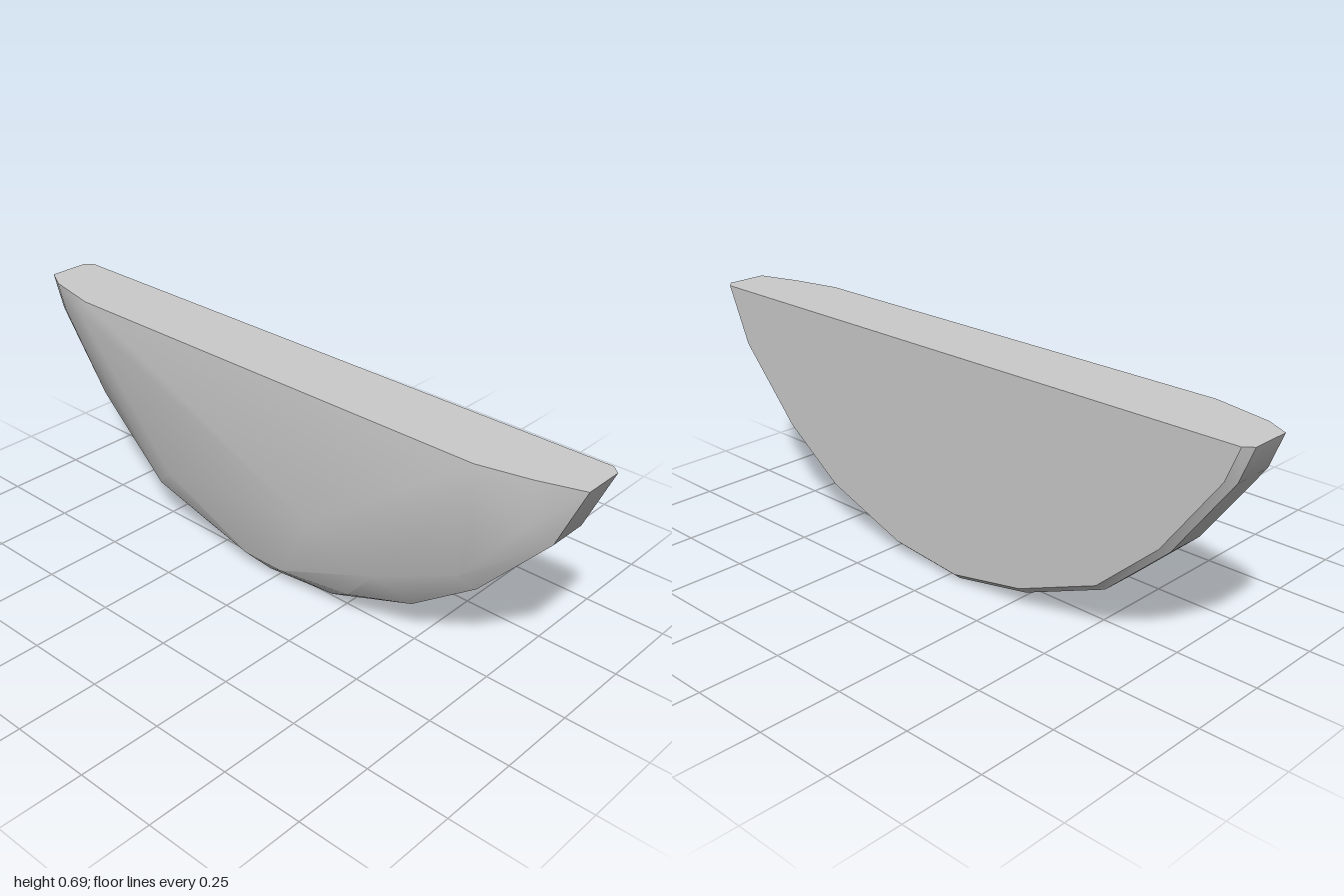
import * as THREE from 'three';
import { ConvexGeometry } from 'three/addons/geometries/ConvexGeometry.js';
import { toCreasedNormals } from 'three/addons/utils/BufferGeometryUtils.js';

const TOP = 0.693;

// Half-round outline, from one top corner to the other
const RIM = [
  [-1, TOP], [-0.96, 0.59], [-0.78, 0.345], [-0.58, 0.165], [-0.3, 0.05], [-0.04, 0],
  [0.21, 0.025], [0.5, 0.13], [0.71, 0.28], [0.92, 0.51], [1, TOP],
];

// Corners of the chipped, bulging front face
const FRONT = [
  [-0.93, TOP, 0.06], [-0.75, TOP, 0.098], [0.72, TOP, 0.098], [0.87, TOP, 0.064],
  [-0.9, 0.61, 0.06], [-0.77, 0.64, 0.098], [0.72, 0.635, 0.1], [0.86, 0.55, 0.062],
  [0.2, 0.31, 0.125], [0.1, 0.22, 0.104], [0.42, 0.22, 0.095], [0.68, 0.33, 0.066],
  [-0.4, 0.22, 0.095], [-0.48, 0.145, 0.062], [-0.1, 0.05, 0.065], [0.04, 0.05, 0.065],
  [0.3, 0.085, 0.06],
];

export function createModel() {
  const points = [];
  const add = (x, y, z) => points.push(new THREE.Vector3(x, y, z));

  // Straight rim band, then a small bevel in to the flat back
  for (const [x, y] of RIM) {
    add(x, y, 0.022);
    add(x, y, -0.103);
    add(x * 0.975, TOP + (y - TOP) * 0.972, -0.125);
  }
  for (const p of FRONT) add(...p);

  const hull = new ConvexGeometry(points);
  hull.deleteAttribute('normal');
  const slab = new THREE.Mesh(
    toCreasedNormals(hull, 0.45),
    new THREE.MeshStandardMaterial({ color: 0xcccccc }),
  );
  slab.name = 'halfRoundSlab';

  const group = new THREE.Group();
  group.name = 'stoneSlab';
  group.add(slab);
  return group;
}
